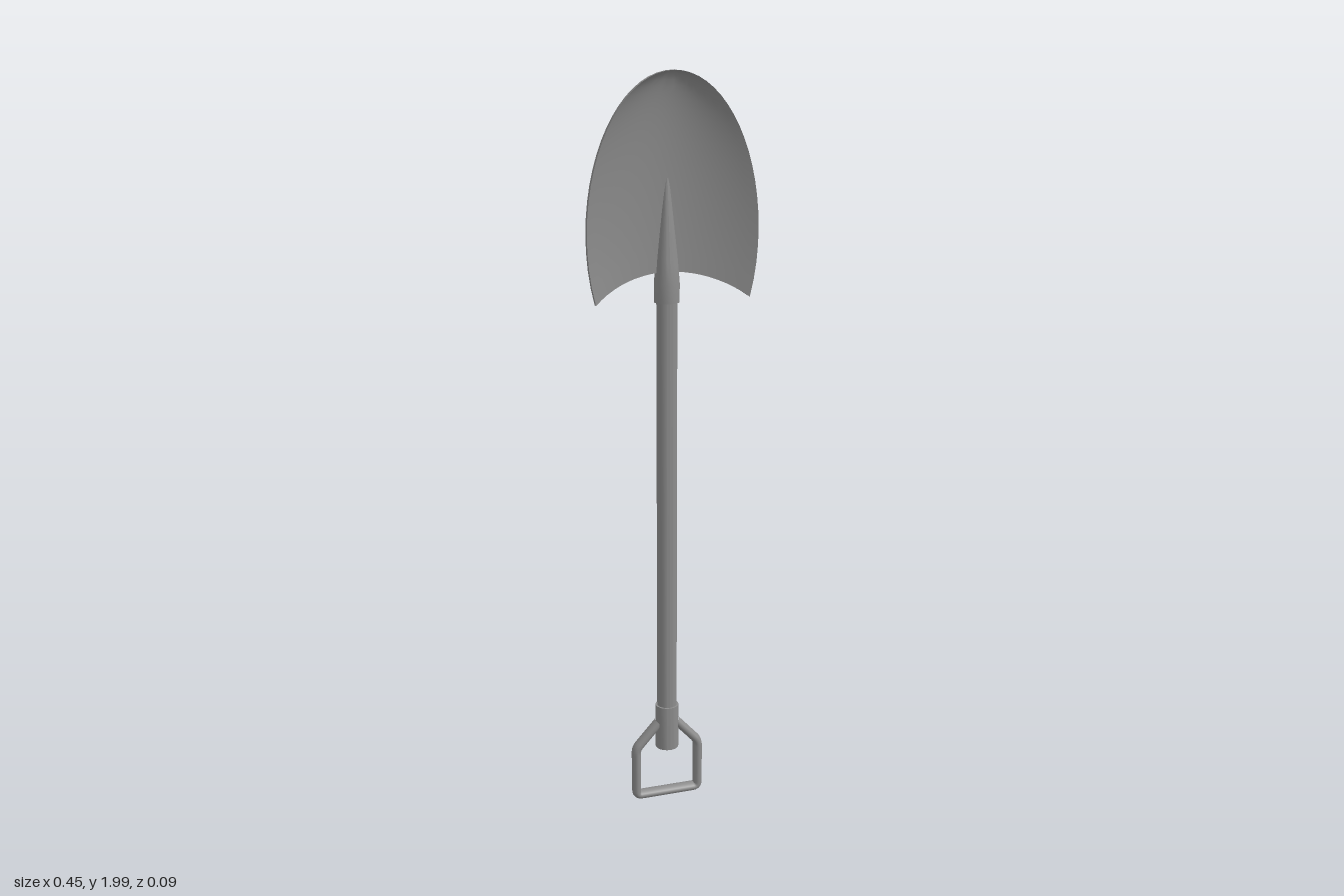
import * as THREE from 'three';
import { toCreasedNormals } from 'three/addons/utils/BufferGeometryUtils.js';

const AXIS_Z = -0.014; // depth of the shaft axis

// Half width of the blade at height y (an ellipse)
const halfWidth = (y) => 0.224 * Math.sqrt(Math.max(0, 1 - ((y - 1.6) / 0.397) ** 2));

// Dished blade: front and back skins joined into one closed shell
function bladeGeometry() {
  const ROWS = 20, COLS = 20, HALF = 0.007;
  const pos = [], idx = [];
  const point = (u, t, side) => {
    const bottom = 1.498 - 0.065 * t * t;
    const y = bottom + (1.997 - bottom) * Math.sin(u * Math.PI / 2);
    const w = halfWidth(y);
    const depth = 0.057 * Math.pow(w / 0.224, 0.6);
    const z = 0.04 - depth * (1 - t * t);
    pos.push(t * w, y, z + side * HALF);
  };
  for (let r = 0; r <= ROWS; r++) {
    for (let c = 0; c <= COLS; c++) point(r / ROWS, -1 + 2 * c / COLS, 1);
    for (let c = COLS; c >= 0; c--) point(r / ROWS, -1 + 2 * c / COLS, -1);
  }
  const n = 2 * (COLS + 1);
  for (let r = 0; r < ROWS; r++) {
    for (let c = 0; c < n; c++) {
      const a = r * n + c, b = r * n + (c + 1) % n;
      idx.push(a, b, b + n, a, b + n, a + n);
    }
  }
  // Close the lower edge
  for (let c = 0; c < COLS; c++) {
    const backA = n - 1 - c, backB = n - 2 - c;
    idx.push(c, backB, c + 1, c, backA, backB);
  }
  const g = new THREE.BufferGeometry();
  g.setAttribute('position', new THREE.Float32BufferAttribute(pos, 3));
  g.setIndex(idx);
  return toCreasedNormals(g, 0.7);
}

// Turned part from [radius, height] pairs, bottom to top
function turned(profile) {
  const g = new THREE.LatheGeometry(profile.map(([r, y]) => new THREE.Vector2(r, y)), 20);
  return toCreasedNormals(g, 0.6);
}

// Closed D-shaped grip path with rounded corners
function gripGeometry() {
  const corners = [[-0.025, 0.232], [-0.09, 0.16], [-0.09, 0.016], [0.09, 0.016], [0.09, 0.16], [0.025, 0.232]]
    .map(([x, y]) => new THREE.Vector3(x, y, 0));
  const path = new THREE.CurvePath();
  let from = corners[0];
  for (let i = 1; i < corners.length - 1; i++) {
    const p = corners[i];
    const before = p.clone().add(corners[i - 1].clone().sub(p).setLength(0.014));
    const after = p.clone().add(corners[i + 1].clone().sub(p).setLength(0.014));
    path.add(new THREE.LineCurve3(from, before));
    path.add(new THREE.QuadraticBezierCurve3(before, p, after));
    from = after;
  }
  path.add(new THREE.LineCurve3(from, corners[corners.length - 1]));
  return new THREE.TubeGeometry(path, 120, 0.0125, 12, false);
}

export function createModel() {
  const group = new THREE.Group();
  const metal = new THREE.MeshStandardMaterial({ color: 0x8c8c8c });
  metal.name = 'grey metal';

  const add = (name, geometry, z = AXIS_Z) => {
    const mesh = new THREE.Mesh(geometry, metal);
    mesh.name = name;
    mesh.position.z = z;
    group.add(mesh);
    return mesh;
  };

  add('blade', bladeGeometry(), 0);
  add('shaft', turned([[0, 0.17], [0.027, 0.17], [0.027, 1.46], [0, 1.46]]));
  // Socket tapering into a rib on the blade
  add('socket', turned([[0, 1.42], [0.033, 1.42], [0.033, 1.47], [0.028, 1.53], [0.005, 1.745], [0, 1.75]]));
  add('gripCollar', turned([[0, 0.157], [0.032, 0.157], [0.032, 0.285], [0, 0.285]]));
  // Grip is a little deeper than it is wide
  add('grip', gripGeometry()).scale.z = 1.4;

  // Rest on the ground and centre in depth
  const box = new THREE.Box3().setFromObject(group);
  group.children.forEach((m) => { m.position.y -= box.min.y; });
  return group;
}
